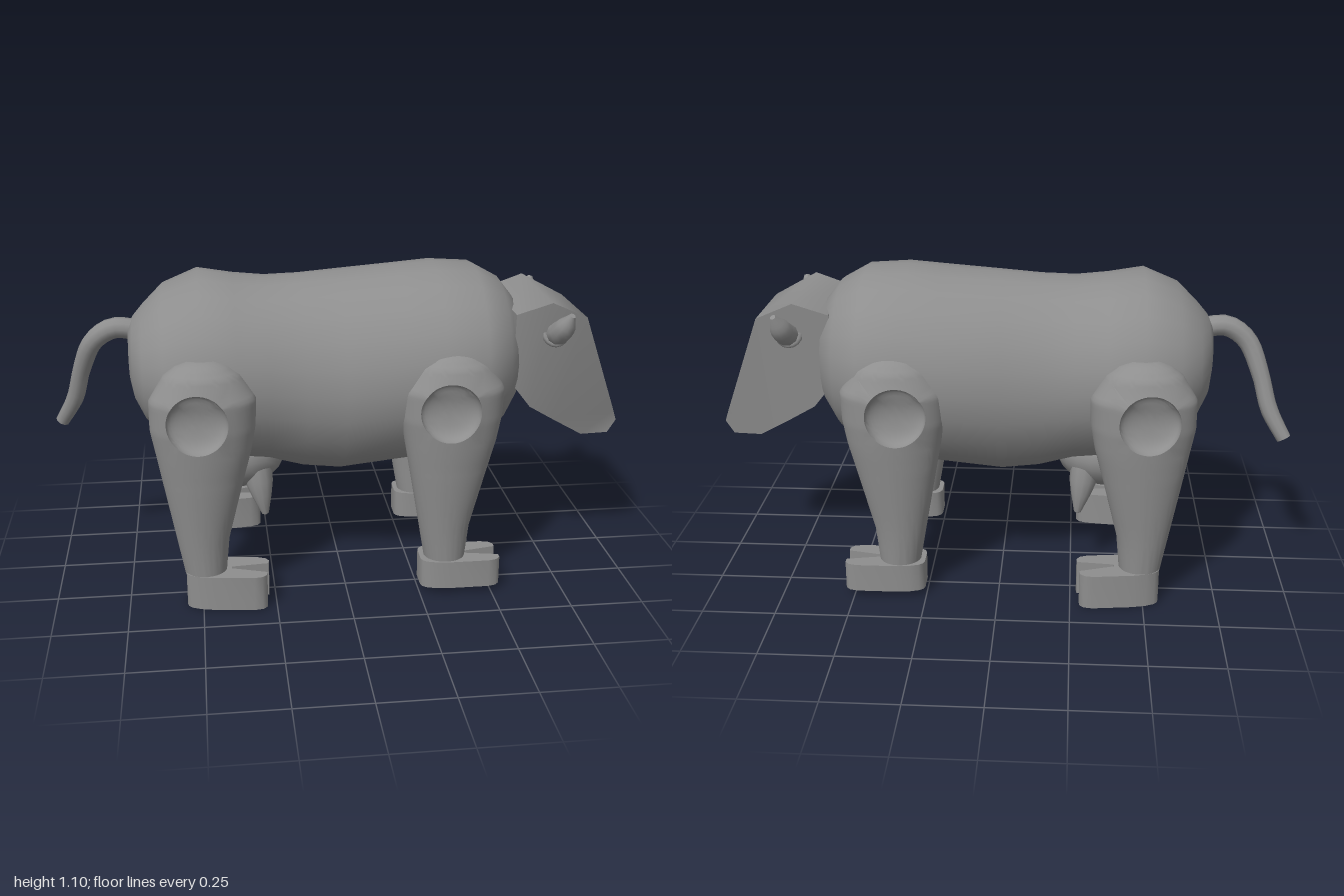
import * as THREE from 'three';
import { toCreasedNormals } from 'three/addons/utils/BufferGeometryUtils.js';

const V = (x, y, z) => new THREE.Vector3(x, y, z);
const lerp = THREE.MathUtils.lerp;
const hide = new THREE.MeshStandardMaterial({ color: 0x8e8e8e });

// Skin over rings of points; each ring turns right-handed about the travel direction.
function loft(rings, crease) {
  const n = rings[0].length, pos = [], idx = [];
  rings.flat().forEach(p => pos.push(p.x, p.y, p.z));
  for (let i = 0; i < rings.length - 1; i++) {
    for (let j = 0; j < n; j++) {
      const a = i * n + j, b = i * n + (j + 1) % n;
      idx.push(a, b, a + n, b, b + n, a + n);
    }
  }
  // close both ends with fans
  [0, rings.length - 1].forEach((r, end) => {
    const mid = V(0, 0, 0);
    rings[r].forEach(p => mid.addScaledVector(p, 1 / n));
    const c = pos.length / 3;
    pos.push(mid.x, mid.y, mid.z);
    for (let j = 0; j < n; j++) {
      const a = r * n + j, b = r * n + (j + 1) % n;
      if (end) idx.push(c, a, b); else idx.push(c, b, a);
    }
  });
  const g = new THREE.BufferGeometry();
  g.setAttribute('position', new THREE.Float32BufferAttribute(pos, 3));
  g.setIndex(idx);
  g.computeVertexNormals();
  return crease ? toCreasedNormals(g, crease) : g;
}

// Tapered round tube along a smooth path
function taper(points, radii, steps, sides) {
  const curve = new THREE.CatmullRomCurve3(points);
  const frames = curve.computeFrenetFrames(steps);
  const rings = [];
  for (let i = 0; i <= steps; i++) {
    const f = i / steps * (radii.length - 1), k = Math.min(Math.floor(f), radii.length - 2);
    const r = lerp(radii[k], radii[k + 1], f - k);
    const c = curve.getPointAt(i / steps);
    rings.push(Array.from({ length: sides }, (_, j) => {
      const a = j / sides * Math.PI * 2;
      return c.clone().addScaledVector(frames.normals[i], r * Math.cos(a))
        .addScaledVector(frames.binormals[i], r * Math.sin(a));
    }));
  }
  return loft(rings, 0.9);
}

function add(parent, name, geometry) {
  const m = new THREE.Mesh(geometry, hide);
  m.name = name;
  parent.add(m);
  return m;
}

// Barrel body: x, top, bottom, half width
const BODY = [
  [-.72, .90, .71, .09], [-.705, .93, .65, .175], [-.67, .97, .58, .24], [-.6, 1.04, .5, .305],
  [-.48, 1.09, .45, .343], [-.36, 1.07, .43, .335], [-.25, 1.06, .415, .315], [-.13, 1.065, .38, .305],
  [0, 1.075, .367, .325], [.21, 1.09, .395, .35], [.33, 1.1, .41, .352], [.47, 1.09, .45, .345],
  [.56, 1.04, .52, .28], [.615, .97, .6, .19], [.635, .9, .68, .1],
];
function bodyGeometry() {
  return loft(BODY.map(([x, t, b, w]) => Array.from({ length: 24 }, (_, j) => {
    const a = j / 24 * Math.PI * 2;
    return V(x, (t + b) / 2 + (t - b) / 2 * Math.cos(a), w * Math.sin(a));
  })));
}

// Wedge head: top x, y, half width, then bottom x, y, half width
const HEAD = [
  [.58, .96, .2, .58, .71, .185], [.7, 1, .208, .65, .62, .17], [.84, .93, .155, .75, .555, .14],
  [.985, .56, .083, .87, .475, .083], [1, .52, .072, .97, .475, .075],
];
function headGeometry() {
  return loft(HEAD.map(([tx, ty, tw, bx, by, bw]) =>
    [V(tx, ty, tw), V(bx, by, bw), V(bx, by, -bw), V(tx, ty, -tw)]), 0.85);
}

// Leg sections: y, back x, front x, inner z, outer z
const LEG = [
  [.11, -.055, .085, .225, .36], [.24, -.078, .098, .225, .37], [.42, -.11, .143, .215, .39],
  [.56, -.135, .18, .2, .405], [.64, -.15, .195, .19, .412], [.74, -.15, .2, .19, .412],
  [.82, -.1, .15, .2, .38], [.85, -.06, .11, .23, .35], [.865, -.02, .07, .26, .32],
];
function legSection(y) {
  let k = 0;
  while (k < LEG.length - 2 && y > LEG[k + 1][0]) k++;
  const t = (y - LEG[k][0]) / (LEG[k + 1][0] - LEG[k][0]);
  const [, x0, x1, z0, z1] = LEG[k].map((v, m) => lerp(v, LEG[k + 1][m], t));
  return { cx: (x0 + x1) / 2, hx: (x1 - x0) / 2, cz: (z0 + z1) / 2, hz: (z1 - z0) / 2 };
}
// Point on the outer face; grid squares round the joint become circles sunk into a bowl
function outerPoint(x, y) {
  const R = .1, X = .005, Y = .68;
  const a = (x - X) / R, b = (y - Y) / R, m = Math.max(Math.abs(a), Math.abs(b));
  let sink = 0;
  if (m > 0 && m < 1.2) {
    const d = Math.hypot(a, b), r = R * (m < 1 ? Math.sin(m * Math.PI / 2) : m);
    const t = Math.max(0, (m - 1) / .2);
    x = lerp(X + a / d * r, x, t);
    y = lerp(Y + b / d * r, y, t);
  }
  if (m < 1) sink = .055 * Math.cos(m * Math.PI / 2);
  const s = legSection(y), u = Math.min(1, Math.abs(x - s.cx) / s.hx);
  return V(x, y, s.cz + s.hz * Math.sqrt(1 - u * u) - sink);
}
function legGeometry(side) {
  const N = 16, E = 8;
  const ys = [.11];
  [[.24, 2], [.42, 3], [.56, 4], [.58, 1], [.78, N], [.8, 1], [.85, 5], [.865, 2]].forEach(([to, n]) => {
    const from = ys[ys.length - 1];
    for (let i = 1; i <= n; i++) ys.push(lerp(from, to, i / n));
  });
  const rings = ys.map(y => {
    const s = legSection(y), q = Math.min(.1, .68 * s.hx), c = s.hx > .14 ? .005 : s.cx;
    const xs = [];
    for (let i = 0; i <= N + 2 * E; i++) {
      const k = i - E;
      if (k < 0) xs.push(lerp(c - q, s.cx - s.hx, Math.sin(-k / E * Math.PI / 2)));
      else if (k <= N) xs.push(lerp(c - q, c + q, k / N));
      else xs.push(lerp(c + q, s.cx + s.hx, Math.sin((k - N) / E * Math.PI / 2)));
    }
    const ring = xs.map(x => outerPoint(x, y));
    // plain inner half
    for (let j = 1; j < 16; j++) {
      const a = j / 16 * Math.PI;
      ring.push(V(s.cx + s.hx * Math.cos(a), y, s.cz - s.hz * Math.sin(a)));
    }
    ring.forEach(p => { p.z *= side; });
    return side < 0 ? ring.reverse() : ring;
  });
  return loft(rings, 0.7);
}

// Cloven hoof seen from above, pointing forward
function hoofGeometry(length, halfWidth, height) {
  const half = [[0, .45], [.02, .65], [.07, .8], [.18, .93], [.35, 1], [.85, 1], [.95, .9], [1, .7], [1, .42], [.55, .08]];
  const pts = [...half, ...half.map(([x, z]) => [x, -z]).reverse()];
  const s = new THREE.Shape(pts.map(([x, z]) => new THREE.Vector2(x * length, z * halfWidth)));
  const g = new THREE.ExtrudeGeometry(s, { depth: height, bevelEnabled: false });
  return toCreasedNormals(g.rotateX(-Math.PI / 2), 0.85);
}

export function createModel() {
  const cow = new THREE.Group();
  cow.name = 'cow';
  add(cow, 'body', bodyGeometry());

  // Head with horns, set slightly to one side
  const head = new THREE.Group();
  head.name = 'head';
  head.position.z = .025;
  cow.add(head);
  add(head, 'skull', headGeometry());
  for (const s of [1, -1]) {
    add(head, 'horn', taper([V(.72, .885, .16 * s), V(.725, .895, .21 * s), V(.735, .925, .243 * s),
      V(.75, .972, .272 * s)], [.036, .04, .035, .01], 10, 10));
    const collar = add(head, 'hornCollar', new THREE.TorusGeometry(.038, .011, 6, 16));
    collar.position.set(.72, .89, .19 * s);
    collar.rotation.x = -.35 * s;
  }

  // Tail curling down and aside
  add(cow, 'tail', taper([V(-.68, .885, 0), V(-.77, .895, 0), V(-.84, .85, -.01), V(-.89, .74, -.045),
    V(-.925, .62, -.08), V(-.978, .525, -.113)], [.036, .036, .034, .03, .03, .025], 20, 10));

  // Legs and hooves; the hind hooves turn slightly outward
  for (const s of [1, -1]) {
    add(cow, 'frontLeg', legGeometry(s)).position.x = .328;
    add(cow, 'hindLeg', legGeometry(s)).position.set(-.502, 0, .018 * s);
    add(cow, 'frontHoof', hoofGeometry(.275, .075, .1)).position.set(.255, .022, .293 * s);
    const hindHoof = add(cow, 'hindHoof', hoofGeometry(.275, .077, .122));
    hindHoof.position.set(-.55, 0, .3 * s);
    hindHoof.rotation.y = -.12 * s;
  }

  // Udder with four teats
  const udder = new THREE.Group();
  udder.name = 'udder';
  cow.add(udder);
  const sack = add(udder, 'udderSack', new THREE.SphereGeometry(1, 20, 14));
  sack.scale.set(.18, .13, .16);
  sack.position.set(-.37, .43, 0);
  const profile = [[0, 0], [.012, .006], [.034, .07], [.048, .12], [.052, .17]]
    .map(([r, y]) => new THREE.Vector2(r, y));
  for (const x of [-.27, -.46]) for (const s of [1, -1]) {
    const teat = add(udder, 'teat', new THREE.LatheGeometry(profile, 12));
    teat.position.set(x, .225, .128 * s);
    teat.rotation.set(-.25 * s, 0, x > -.4 ? .15 : -.15);
  }
  return cow;
}
